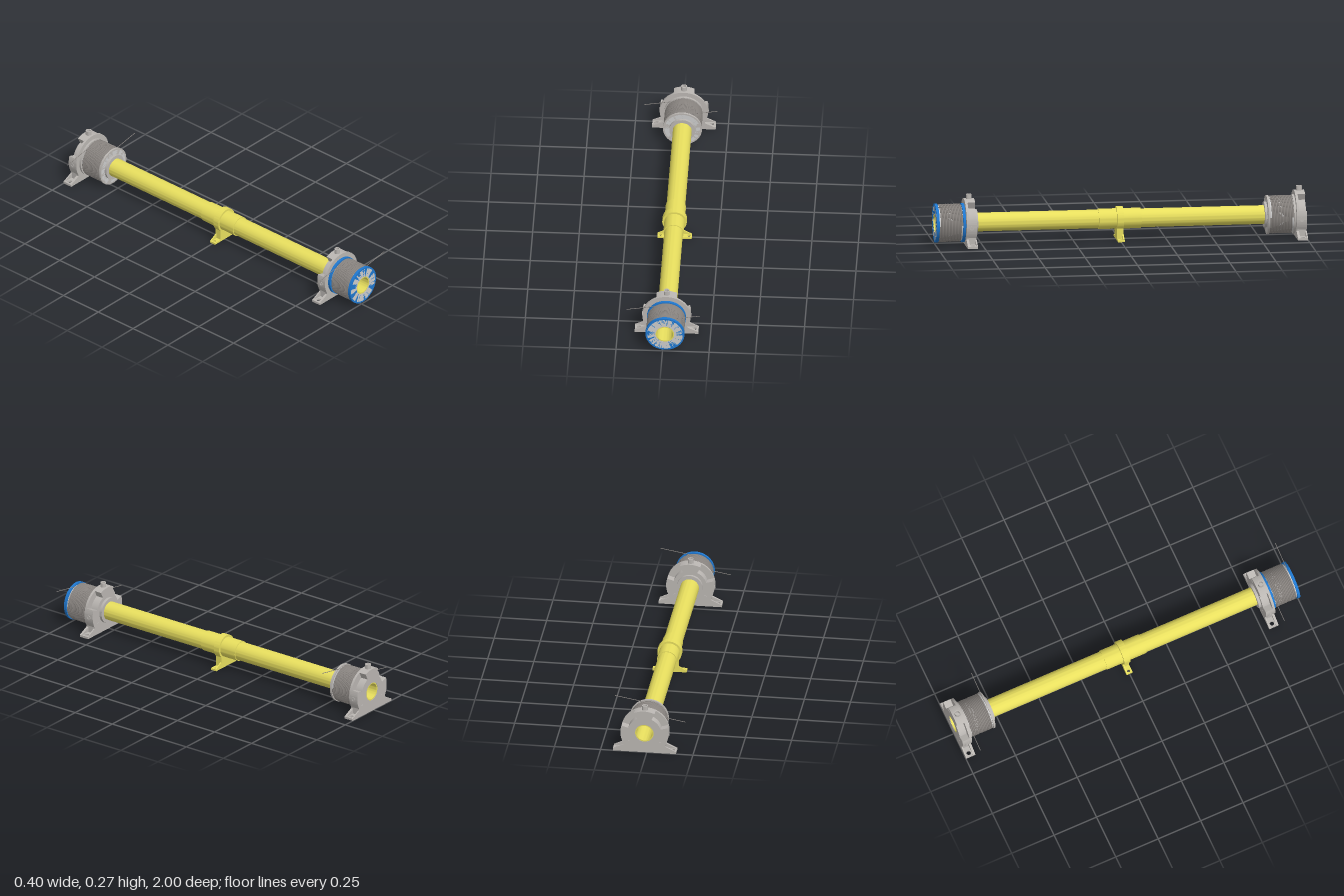
import * as THREE from 'three';
import { toCreasedNormals } from 'three/addons/utils/BufferGeometryUtils.js';

const AXIS_X = 0.013, AXIS_Y = 0.113; // pipe axis; all parts are built around it
const PIPE_R = 0.05;
const mat = (color) => new THREE.MeshStandardMaterial({ color, side: THREE.DoubleSide });
const grey = mat(0xcccccc), yellow = mat(0xe8df5e), blue = mat(0x1f78d0);
const wireMat = mat(0x8c8783), bracketMat = mat(0xbab6b2);

function add(parent, name, geo, material) {
  const mesh = new THREE.Mesh(geo, material);
  mesh.name = name;
  parent.add(mesh);
  return mesh;
}

// Hollow cylinder along y
function sleeveY(rin, rout, y0, y1, seg = 48) {
  const p = [[rin, y0], [rout, y0], [rout, y1], [rin, y1], [rin, y0]].map(([x, y]) => new THREE.Vector2(x, y));
  return toCreasedNormals(new THREE.LatheGeometry(p, seg), 0.6);
}
// Hollow cylinder along z
const sleeve = (rin, rout, z0, z1) => sleeveY(rin, rout, z0, z1).rotateX(Math.PI / 2);

// Shape extruded from z0 to z1
function extrude(shape, z0, z1) {
  const g = new THREE.ExtrudeGeometry(shape, { depth: z1 - z0, bevelEnabled: false, curveSegments: 40 });
  return toCreasedNormals(g.translate(0, 0, z0), 0.6);
}

function hole(shape, x, y, r) {
  const h = new THREE.Path();
  h.absarc(x, y, r, 0, Math.PI * 2, true);
  shape.holes.push(h);
}

// Arch of radius R standing on a waist, with feet sloping down to the ends
function archShape(R, waist, half, footH, slopeH, bore) {
  const b = -AXIS_Y, a = Math.acos(waist / R);
  const s = new THREE.Shape();
  s.moveTo(-half, b);
  s.lineTo(half, b);
  if (half > waist) s.lineTo(half, b + footH);
  s.lineTo(waist, b + slopeH);
  s.absarc(0, 0, R, -a, Math.PI + a, false);
  s.lineTo(-waist, b + slopeH);
  if (half > waist) s.lineTo(-half, b + footH);
  s.closePath();
  hole(s, 0, 0, bore);
  return s;
}

// Sector of a ring between two angles
function sectorShape(r0, r1, a0, a1) {
  const s = new THREE.Shape();
  s.absarc(0, 0, r1, a0, a1, false);
  s.absarc(0, 0, r0, a1, a0, true);
  s.closePath();
  return s;
}

// Flat foot slab with a bolt hole at each end
function footSlab(half, h, z0, z1, holeX, holeR) {
  const s = new THREE.Shape();
  s.moveTo(-half, -z1);
  s.lineTo(half, -z1);
  s.lineTo(half, -z0);
  s.lineTo(-half, -z0);
  s.closePath();
  for (const k of [-1, 1]) hole(s, k * holeX, -(z0 + z1) / 2, holeR);
  return extrude(s, 0, h).rotateX(-Math.PI / 2).translate(0, -AXIS_Y, 0);
}

// End bracket: the tall flange faces +z, the lugs face -z
function endBracket(name, zFront, depth) {
  const g = new THREE.Group();
  g.name = name;
  g.position.z = zFront;
  const half = 0.171, waist = 0.113;
  add(g, 'bracketFlange', extrude(archShape(0.13, waist, half, 0.012, 0.04, PIPE_R), -0.013, 0), bracketMat);
  add(g, 'bracketHub', sleeve(PIPE_R, 0.092, -depth, -0.012), bracketMat);
  add(g, 'bracketFoot', footSlab(half, 0.012, -depth, -0.004, 0.149, 0.012), bracketMat);
  // Solid lower body with a wall sloping to the feet
  const b = -AXIS_Y, lower = new THREE.Shape();
  lower.moveTo(-waist, b);
  lower.lineTo(waist, b);
  lower.lineTo(waist, -0.061);
  lower.lineTo(0.07, -0.045);
  lower.absarc(0, 0, 0.083, -0.57, Math.PI + 0.57, true);
  lower.lineTo(-waist, -0.061);
  lower.closePath();
  add(g, 'bracketBody', extrude(lower, -depth, -0.012), bracketMat);
  for (const k of [-1, 1]) {
    const w = new THREE.Shape();
    w.moveTo(k * waist, b);
    w.lineTo(k * half, b);
    w.lineTo(k * half, b + 0.012);
    w.lineTo(k * waist, b + 0.04);
    w.closePath();
    add(g, 'footGusset', extrude(w, -depth, -depth + 0.007), bracketMat);
    // Side lug with its screw
    const mid = k > 0 ? 0 : Math.PI;
    const a0 = k > 0 ? -0.52 : mid - 0.3, a1 = k > 0 ? 0.3 : mid + 0.52;
    add(g, 'sideLug', extrude(sectorShape(0.09, 0.13, a0, a1), -depth, -0.012), bracketMat);
    const screw = sleeveY(0.006, 0.012, 0, 0.008, 20).rotateZ(-k * Math.PI / 2);
    add(g, 'sideScrew', screw.translate(k * 0.124, -0.008, -depth * 0.5), bracketMat);
  }
  add(g, 'topLug', extrude(sectorShape(0.09, 0.13, Math.PI / 2 - 0.44, Math.PI / 2 + 0.44), -depth, -0.012), bracketMat);
  add(g, 'topNipple', sleeveY(0.01, 0.016, 0.115, 0.154, 24).translate(0, 0, -depth * 0.5), bracketMat);
  return g;
}

// Wire-wound drum with two flanges and two straight wire ends
function spool(name, z0, z1, flangeMat, lip) {
  const g = new THREE.Group();
  g.name = name;
  const wireR = 0.0042, a = z0 + lip, b = z1 - lip;
  const turns = Math.floor((b - a) / (wireR * 2)), pts = [];
  for (let i = 0; i <= turns * 28; i++) {
    const t = i / 28, ang = t * Math.PI * 2;
    const z = a + wireR + (b - a - 2 * wireR) * (t / turns);
    pts.push(new THREE.Vector3(0.0985 * Math.cos(ang), 0.0985 * Math.sin(ang), z));
  }
  const path = new THREE.CatmullRomCurve3(pts);
  add(g, 'drum', sleeve(PIPE_R, 0.096, z0, z1), grey);
  add(g, 'woundWire', new THREE.TubeGeometry(path, turns * 32, wireR, 6), wireMat);
  add(g, 'innerFlange', sleeve(PIPE_R, 0.105, z0, a), flangeMat);
  add(g, 'outerFlange', sleeve(PIPE_R, 0.105, b, z1), flangeMat);
  // Loose wire ends, both on the same slope
  const slope = 0.175, y0 = 0.0865;
  for (const [k, z] of [[-1, a], [1, b]]) {
    const x = k * 0.2 - AXIS_X;
    const line = new THREE.LineCurve3(new THREE.Vector3(0, y0, z), new THREE.Vector3(x, y0 + slope * x, z));
    add(g, 'wireEnd', new THREE.TubeGeometry(line, 1, 0.0017, 6), wireMat);
  }
  return g;
}

export function createModel() {
  const model = new THREE.Group();
  model.name = 'pipeWithSpools';
  const body = new THREE.Group();
  body.name = 'assembly';
  body.position.set(AXIS_X, AXIS_Y, 0);
  model.add(body);

  // Long pipe and its stepped middle joint
  add(body, 'pipe', sleeve(0.044, PIPE_R + 0.0005, -0.998, 0.999), yellow);
  add(body, 'jointSleeve', sleeve(PIPE_R, 0.055, -0.115, 0.115), yellow);

  // Middle clamp with feet
  const clamp = new THREE.Group();
  clamp.name = 'middleClamp';
  add(clamp, 'clampRing', extrude(archShape(0.066, 0.046, 0.046, 0, 0.04, 0.052), -0.018, 0.018), yellow);
  add(clamp, 'clampWeb', extrude(archShape(0.066, 0.046, 0.0925, 0.01, 0.036, 0.052), -0.018, -0.011), yellow);
  add(clamp, 'clampFoot', footSlab(0.0925, 0.01, -0.018, 0.018, 0.077, 0.008), yellow);
  body.add(clamp);

  // Front end: spool outside the bracket
  body.add(endBracket('frontBracket', 0.842, 0.055));
  add(body, 'frontCollar', sleeve(PIPE_R, 0.07, 0.772, 0.79), bracketMat);
  body.add(spool('frontSpool', 0.842, 1.0, blue, 0.015));

  // Rear end: spool inside the bracket
  body.add(endBracket('rearBracket', -0.945, 0.055));
  body.add(spool('rearSpool', -0.945, -0.795, bracketMat, 0.011));
  add(body, 'rearCollar', sleeve(PIPE_R, 0.07, -0.797, -0.782), bracketMat);

  return model;
}
